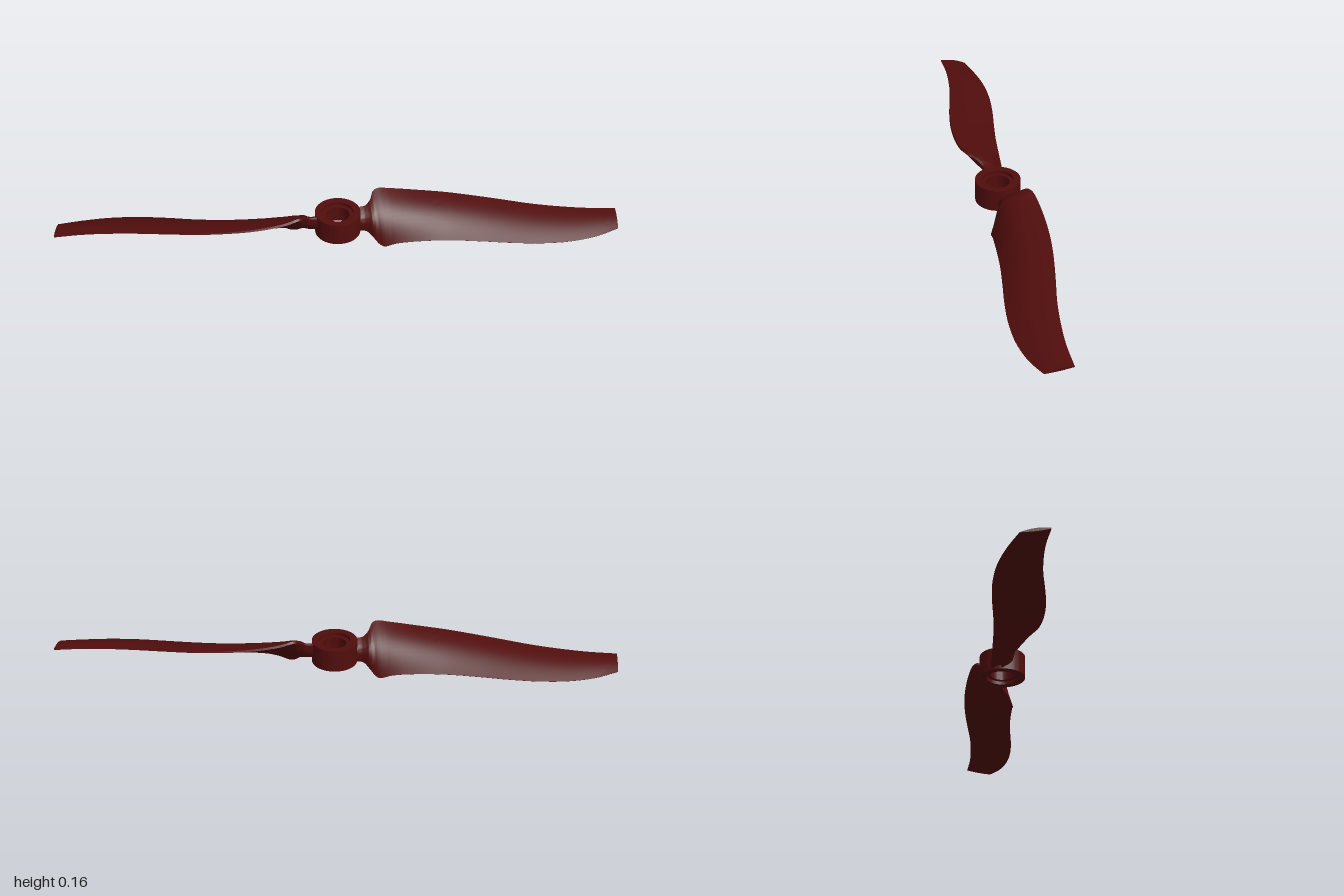
import * as THREE from 'three';
import { toCreasedNormals } from 'three/addons/utils/BufferGeometryUtils.js';

const darkRed = new THREE.MeshStandardMaterial({ color: 0x520d0d });
darkRed.name = 'dark red';

// Blade stations: [leading x, y, z], [trailing x, y, z], [upper bulge, lower bulge, edge thickness]
const STATIONS = [
  [[0.065, 0.118, -0.018], [0.065, 0.041, 0.02], [0.02, 0.018, 0.006]],
  [[0.1, 0.119, -0.018], [0.1, 0.04, 0.026], [0.02, 0.016, 0.006]],
  [[0.122, 0.135, -0.03], [0.122, 0.026, 0.05], [0.024, 0.012, 0.007]],
  [[0.138, 0.153, -0.058], [0.14, 0.008, 0.066], [0.028, 0.009, 0.008]],
  [[0.155, 0.157, -0.067], [0.157, 0.002, 0.076], [0.03, 0.007, 0.008]],
  [[0.2, 0.147, -0.073], [0.2, 0.016, 0.084], [0.029, 0.006, 0.007]],
  [[0.3, 0.131, -0.068], [0.3, 0.029, 0.102], [0.025, 0.004, 0.006]],
  [[0.4, 0.12, -0.053], [0.4, 0.034, 0.122], [0.021, 0.003, 0.005]],
  [[0.5, 0.11, -0.029], [0.5, 0.036, 0.147], [0.018, 0.002, 0.005]],
  [[0.6, 0.101, 0], [0.6, 0.037, 0.173], [0.015, 0.002, 0.004]],
  [[0.7, 0.093, 0.031], [0.7, 0.038, 0.193], [0.013, 0.002, 0.004]],
  [[0.8, 0.086, 0.055], [0.8, 0.04, 0.202], [0.011, 0.002, 0.003]],
  [[0.9, 0.08, 0.073], [0.9, 0.045, 0.195], [0.009, 0.002, 0.003]],
  [[1.0, 0.074, 0.082], [0.985, 0.055, 0.175], [0.006, 0.002, 0.003]],
];

// Twisted, tapering airfoil lofted from the hub to the tip
function bladeGeometry() {
  const [lead, trail, thick] = [0, 1, 2].map(
    (k) => new THREE.CatmullRomCurve3(STATIONS.map((s) => new THREE.Vector3(...s[k])))
  );
  const rows = 65, half = 12, ring = half * 2 + 2;
  const positions = [], index = [];
  for (let i = 0; i <= rows; i++) {
    const u = i / rows;
    const a = lead.getPoint(u), b = trail.getPoint(u), t = thick.getPoint(u);
    const dz = b.z - a.z, dy = b.y - a.y, len = Math.hypot(dz, dy);
    for (let j = 0; j < ring; j++) {
      const upper = j <= half;
      const s = upper ? j / half : (ring - 1 - j) / half;
      const bulge = Math.sin(Math.PI * s);
      const n = upper ? t.x * bulge : -t.y * bulge - t.z * (1 - s) - 0.001;
      positions.push(
        THREE.MathUtils.lerp(a.x, b.x, s),
        a.y + dy * s + (n * dz) / len,
        a.z + dz * s - (n * dy) / len
      );
    }
  }
  for (let i = 0; i < rows; i++) {
    for (let j = 0; j < ring; j++) {
      const k = (j + 1) % ring;
      const p = i * ring + j, q = i * ring + k;
      index.push(p, q, p + ring, q, q + ring, p + ring);
    }
  }
  // tip cap, zipped between upper and lower skins
  const tip = rows * ring;
  for (let j = 0; j < half; j++) {
    const lo = ring - 1 - j;
    index.push(tip + j, tip + j + 1, tip + lo, tip + j + 1, tip + lo - 1, tip + lo);
  }
  const g = new THREE.BufferGeometry();
  g.setAttribute('position', new THREE.Float32BufferAttribute(positions, 3));
  g.setIndex(index);
  return toCreasedNormals(g, 0.6);
}

// Ring hub with a through bore, recessed on both faces
function hubGeometry() {
  const profile = [
    [0.042, 0.05], [0.056, 0.05], [0.056, 0.038], [0.081, 0.038], [0.081, 0.12],
    [0.056, 0.12], [0.056, 0.108], [0.042, 0.108], [0.042, 0.05],
  ].map(([r, y]) => new THREE.Vector2(r, y));
  return toCreasedNormals(new THREE.LatheGeometry(profile, 64), 0.6);
}

export function createModel() {
  const model = new THREE.Group();
  model.name = 'propeller';

  const hub = new THREE.Mesh(hubGeometry(), darkRed);
  hub.name = 'hub';
  model.add(hub);

  const blade = bladeGeometry();
  ['leftBlade', 'rightBlade'].forEach((name, i) => {
    const mesh = new THREE.Mesh(blade, darkRed);
    mesh.name = name;
    mesh.rotation.y = i * Math.PI;
    model.add(mesh);
  });
  return model;
}
